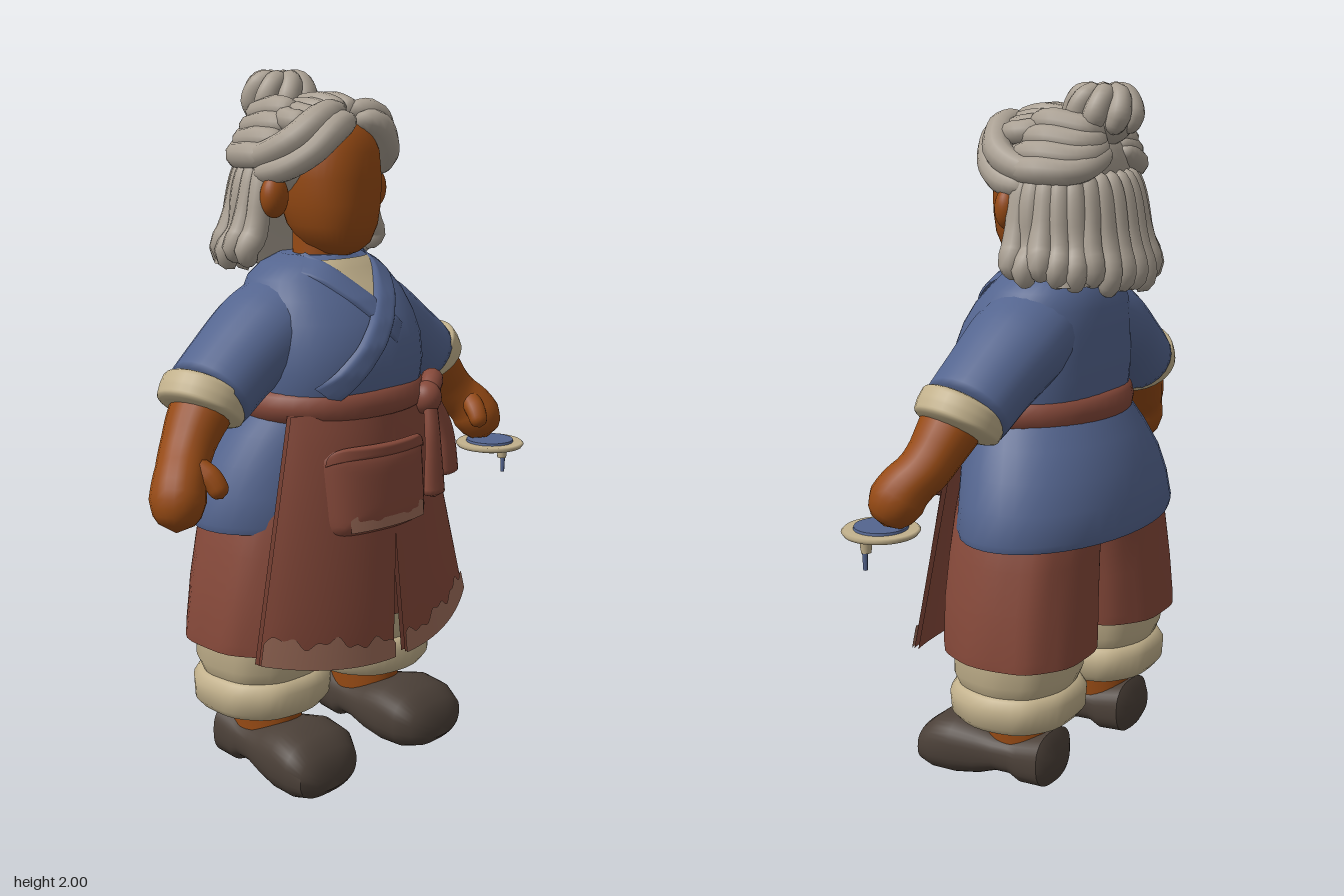
import * as THREE from 'three';
import { mergeVertices, toCreasedNormals } from 'three/addons/utils/BufferGeometryUtils.js';

const paint = (name, color, side = THREE.FrontSide) => {
  const m = new THREE.MeshStandardMaterial({ color, side });
  m.name = name;
  return m;
};

// Closed solid from horizontal superellipses: [y, x0, x1, z0, z1], listed upward
function loft(rows, { e = 2, n = 40, fold = 0, folds = 9, crease = 0.75 } = {}) {
  const pos = [], idx = [];
  const shut = ([y, a, b, c, d]) => [y, (a + b) / 2, (a + b) / 2, (c + d) / 2, (c + d) / 2];
  const all = [shut(rows[0]), ...rows, shut(rows.at(-1))];
  const pow = v => Math.sign(v) * Math.abs(v) ** (2 / e);
  all.forEach(([y, x0, x1, z0, z1], i) => {
    for (let j = 0; j < n; j++) {
      const t = (j / n) * Math.PI * 2;
      const k = 1 + fold * Math.sin(folds * t + i * 0.4);
      pos.push((x0 + x1) / 2 + (x1 - x0) / 2 * k * pow(Math.cos(t)), y,
        (z0 + z1) / 2 + (z1 - z0) / 2 * k * pow(Math.sin(t)));
      if (i < all.length - 1) {
        const a = i * n + j, c = i * n + (j + 1) % n;
        idx.push(a, a + n, c, c, a + n, c + n);
      }
    }
  });
  const g = new THREE.BufferGeometry();
  g.setAttribute('position', new THREE.Float32BufferAttribute(pos, 3));
  g.setIndex(idx);
  return toCreasedNormals(g, crease);
}

// Rounded strand or limb along a curve, with radii spread evenly along it
function limb(points, radii, { flatZ = 1, round = 0.12, seg = 20, sides = 12 } = {}) {
  const curve = new THREE.CatmullRomCurve3(points.map(p => new THREE.Vector3(...p)));
  const g = new THREE.TubeGeometry(curve, seg, 1, sides);
  const p = g.attributes.position, v = new THREE.Vector3();
  for (let i = 0; i <= seg; i++) {
    const t = i / seg, c = curve.getPointAt(t), f = t * (radii.length - 1);
    const k = Math.min(Math.floor(f), radii.length - 2);
    const end = Math.max(0, 1 - Math.min(t, 1 - t) / round);
    const r = THREE.MathUtils.lerp(radii[k], radii[k + 1], f - k) * Math.sqrt(1 - end * end);
    for (let j = 0; j <= sides; j++) {
      const q = i * (sides + 1) + j;
      v.fromBufferAttribute(p, q).sub(c).multiplyScalar(r);
      p.setXYZ(q, c.x + v.x, c.y + v.y, c.z + v.z * flatZ);
    }
  }
  g.deleteAttribute('normal');
  g.deleteAttribute('uv');
  const out = mergeVertices(g, 1e-5);
  out.computeVertexNormals();
  return out;
}

// Padded cloth lying on a surface z(x, y); at(u, v) gives x and y
function patch(at, zAt, lift, pad = 0, nu = 24, nv = 16) {
  const g = new THREE.PlaneGeometry(1, 1, nu, nv), p = g.attributes.position;
  for (let i = 0; i < p.count; i++) {
    const u = p.getX(i) + 0.5, v = p.getY(i) + 0.5;
    const [x, y] = at(u, v);
    const edge = Math.max(Math.abs(2 * u - 1), Math.abs(2 * v - 1));
    p.setXYZ(i, x, y, zAt(x, y) + lift + pad * (1 - edge ** 6));
  }
  g.computeVertexNormals();
  return g;
}

export function createModel() {
  const root = new THREE.Group(), body = new THREE.Group();
  body.name = 'figure';
  body.position.x = -0.025;
  root.add(body);
  const skin = paint('brown skin', 0x964a14), blue = paint('blue cloth', 0x54658f, THREE.DoubleSide);
  const red = paint('russet cloth', 0x86493a, THREE.DoubleSide), worn = paint('worn hem', 0x9c6c59, THREE.DoubleSide);
  const cream = paint('cream cloth', 0xc2b18c, THREE.DoubleSide), hair = paint('grey hair', 0xaaa093);
  const leather = paint('dark leather', 0x4b4038);
  const add = (name, g, mat, parent = body) => {
    const m = new THREE.Mesh(g, mat);
    m.name = name;
    parent.add(m);
    return m;
  };
  const ball = (name, mat, [x, y, z], [a, b, c], parent) => {
    const m = add(name, new THREE.SphereGeometry(1, 28, 20), mat, parent);
    m.position.set(x, y, z);
    m.scale.set(a, b, c);
  };
  const lerp = THREE.MathUtils.lerp;
  const sym = rows => rows.map(([y, w, z0, z1]) => [y, -w, w, z0, z1]);

  // Robe: skirt and upper body
  add('robeSkirt', loft(sym([[0.775, 0.395, -0.29, 0.19], [0.76, 0.41, -0.305, 0.2], [0.78, 0.415, -0.31, 0.205],
    [0.86, 0.395, -0.3, 0.205], [0.94, 0.365, -0.28, 0.21], [1.02, 0.32, -0.245, 0.215], [1.1, 0.27, -0.2, 0.23]])), blue);
  const chest = sym([[1.08, 0.265, -0.19, 0.235], [1.14, 0.275, -0.195, 0.255], [1.2, 0.28, -0.2, 0.262],
    [1.27, 0.275, -0.2, 0.255], [1.33, 0.265, -0.2, 0.23], [1.39, 0.25, -0.195, 0.19], [1.44, 0.22, -0.18, 0.145],
    [1.475, 0.175, -0.155, 0.115], [1.5, 0.12, -0.11, 0.09]]);
  add('robeTop', loft(chest, { e: 2.2 }), blue);
  const chestZ = (x, y) => {
    let i = 0;
    while (i < chest.length - 2 && chest[i + 1][0] < y) i++;
    const t = THREE.MathUtils.clamp((y - chest[i][0]) / (chest[i + 1][0] - chest[i][0]), 0, 1);
    const [, , w, z0, z1] = chest[i].map((v, k) => lerp(v, chest[i + 1][k], t));
    return (z0 + z1) / 2 + (z1 - z0) / 2 * Math.max(0, 1 - Math.abs(x / w) ** 2.2) ** (1 / 2.2);
  };
  add('undershirt', patch((u, v) => [(u - 0.5) * lerp(0.02, 0.22, v), lerp(1.36, 1.49, v)], chestZ, 0.007), cream);
  const lapel = (name, a, b, lift) => add(name, patch((u, v) => {
    const w = (v - 0.5) * 0.07, dx = b[0] - a[0], dy = b[1] - a[1], l = Math.hypot(dx, dy);
    return [lerp(a[0], b[0], u) - dy / l * w, lerp(a[1], b[1], u) + dx / l * w];
  }, chestZ, lift, 0.014), blue);
  lapel('underLapel', [-0.135, 1.485], [0.05, 1.29], 0.002);
  lapel('overLapel', [0.135, 1.485], [-0.2, 1.14], 0.008);

  // Belt with knot and hanging ends
  add('belt', loft(sym([[1.06, 0.275, -0.2, 0.245], [1.075, 0.292, -0.212, 0.268], [1.105, 0.298, -0.217, 0.274],
    [1.135, 0.29, -0.212, 0.268], [1.15, 0.272, -0.195, 0.25]]), { crease: 1.2 }), red);
  ball('beltKnot', red, [0.18, 1.085, 0.235], [0.045, 0.048, 0.045]);
  add('knotLoop', limb([[0.18, 1.09, 0.24], [0.235, 1.125, 0.21], [0.275, 1.09, 0.17], [0.22, 1.06, 0.22]], [0.03, 0.035, 0.03]), red);
  add('beltEnd', limb([[0.18, 1.08, 0.25], [0.165, 0.97, 0.275], [0.17, 0.8, 0.28]], [0.025, 0.03, 0.04], { flatZ: 0.6, round: 0.04 }), red);
  add('beltEnd', limb([[0.2, 1.08, 0.24], [0.25, 0.98, 0.25], [0.275, 0.84, 0.245]], [0.025, 0.03, 0.04], { flatZ: 0.6, round: 0.04 }), red);

  // Split apron, worn hem and pocket
  const outer = y => lerp(0.455, 0.275, (y - 0.37) / 0.72);
  const apronZ = (x, y) => lerp(0.3, 0.262, (y - 0.37) / 0.72) - 0.12 * (x / outer(y)) ** 2;
  const panel = (s, top) => (u, v) => {
    const y = lerp(0.375 + 0.06 * u * u, top(u), v);
    const inner = 0.025 * Math.max(0, (0.72 - y) / 0.35);
    return [s * lerp(inner, outer(y), u), y];
  };
  for (const s of [-1, 1]) {
    add('apronPanel', patch(panel(s, () => 1.09), apronZ, 0, 0.006), red);
    add('apronLining', patch(panel(s, () => 1.09), apronZ, -0.014), red);
    add('apronWornHem', patch(panel(s, u => 0.425 + 0.075 * u + 0.012 * Math.sin(u * 17 + s) + 0.008 * Math.sin(u * 41)),
      apronZ, 0.0085, 0, 48, 4), worn);
  }
  const pocketAt = (lo, hi) => (u, v) => {
    const a = 2 * u - 1, w = lerp(lo, hi, v), b = 2 * w - 1;
    return [-0.04 + 0.185 * a * (1 - 0.08 * b ** 8), 0.875 + 0.122 * b * (1 - 0.1 * a ** 8)];
  };
  add('pocket', patch(pocketAt(0, 1), apronZ, 0.004, 0.028), red);
  add('pocketBand', patch(pocketAt(0.86, 1.02), apronZ, 0.016, 0.014), red);
  add('pocketWear', patch((u, v) => [lerp(-0.18, 0.1, u), 0.768 + v * (0.035 + 0.012 * Math.sin(u * 15))], apronZ, 0.03, 0, 30, 4), worn);

  for (const s of [-1, 1]) {
    const side = s > 0 ? 'left' : 'right';
    const flip = rows => rows.map(([y, a, b, c, d]) => s > 0 ? [y, a, b, c, d] : [y, -b, -a, c, d]);
    const pts = list => list.map(([x, y, z]) => [s * x, y, z]);

    // Trousers, rolled cuffs, ankles and clogs
    add(side + 'Trouser', loft(flip([[0.44, 0.04, 0.4, -0.23, 0.15], [0.42, 0.015, 0.425, -0.25, 0.17], [0.45, 0.01, 0.425, -0.25, 0.175],
      [0.58, 0, 0.41, -0.245, 0.18], [0.7, -0.01, 0.385, -0.24, 0.18], [0.8, -0.03, 0.36, -0.24, 0.18],
      [0.95, -0.03, 0.3, -0.2, 0.17]]), { e: 2.3, fold: 0.012 }), red);
    add(side + 'TrouserCuff', loft(flip([[0.225, 0.07, 0.375, -0.18, 0.115], [0.22, 0.05, 0.395, -0.2, 0.135], [0.24, 0.032, 0.412, -0.216, 0.15],
      [0.295, 0.03, 0.415, -0.22, 0.155], [0.32, 0.045, 0.4, -0.205, 0.14], [0.325, 0.055, 0.39, -0.195, 0.13],
      [0.36, 0.04, 0.405, -0.21, 0.145], [0.45, 0.045, 0.4, -0.21, 0.145]]), { e: 2.3, fold: 0.008 }), cream);
    add(side + 'Ankle', loft(flip([[0.1, 0.13, 0.3, -0.14, 0.09], [0.18, 0.125, 0.3, -0.14, 0.09], [0.3, 0.12, 0.31, -0.14, 0.09]])), skin);
    add(side + 'Clog', loft(flip([[-0.168, 0.16, 0.29, -0.15, -0.05], [-0.15, 0.13, 0.31, -0.182, -0.018], [-0.08, 0.12, 0.315, -0.168, -0.015],
      [-0.05, 0.118, 0.317, -0.16, -0.035], [0, 0.108, 0.325, -0.16, -0.035], [0.06, 0.098, 0.34, -0.175, -0.012],
      [0.13, 0.086, 0.36, -0.19, 0], [0.2, 0.09, 0.365, -0.175, 0], [0.245, 0.12, 0.35, -0.14, -0.012],
      [0.268, 0.17, 0.305, -0.095, -0.035]]), { e: 2.6 }).rotateX(Math.PI / 2), leather);

    // Sleeves, arms and mitten hands
    add(side + 'Sleeve', limb(pts([[0.1, 1.34, -0.02], [0.2, 1.3, -0.025], [0.32, 1.23, -0.02], [0.455, 1.135, -0.01]]),
      [0.13, 0.13, 0.118, 0.112], { flatZ: 1.14, round: 0.06, sides: 24 }), blue);
    add(side + 'SleeveCuff', limb(pts([[0.425, 1.18, -0.015], [0.452, 1.145, -0.01], [0.482, 1.1, -0.005]]),
      [0.12, 0.122, 0.116], { flatZ: 1.02, round: 0.25, sides: 28 }), cream);
    const tip = s > 0 ? [[0.605, 0.96, 0.07], [0.635, 0.865, 0.11]] : [[0.61, 0.95, 0.065], [0.64, 0.835, 0.085]];
    add(side + 'Arm', limb(pts([[0.43, 1.17, 0], [0.5, 1.09, 0.01], [0.555, 1.02, 0.03], ...tip]),
      [0.08, 0.08, 0.07, 0.066, 0.072, 0.05], { flatZ: 1.1, sides: 18 }), skin);
    add(side + 'Thumb', limb(pts([[0.575, 1.01, 0.07], [0.55, 0.965, 0.13], [0.54, 0.92, 0.155]]), [0.03, 0.032, 0.026], { round: 0.2 }), skin);
    ball(side + 'Ear', skin, [s * 0.2, 1.665, 0.01], [0.042, 0.058, 0.035]);
  }

  // Small plate held in the left hand, with a stub below
  const plate = new THREE.Group();
  plate.name = 'plate';
  plate.position.set(0.63, 0.845, 0.125);
  body.add(plate);
  const rim = [[0, -0.016], [0.06, -0.014], [0.1, -0.003], [0.106, 0.006], [0.1, 0.012], [0, 0.012]];
  add('plateDish', new THREE.LatheGeometry(rim.map(p => new THREE.Vector2(...p)), 36), cream, plate);
  add('plateInlay', new THREE.CylinderGeometry(0.072, 0.074, 0.008, 32).translate(0, 0.015, 0), blue, plate);
  add('plateStub', new THREE.CylinderGeometry(0.018, 0.014, 0.035, 12).translate(0.045, -0.03, 0.015), cream, plate);
  add('plateStubTip', new THREE.CylinderGeometry(0.008, 0.006, 0.06, 8).translate(0.05, -0.065, 0.015), blue, plate);

  // Neck and plain face
  add('neck', loft(sym([[1.42, 0.095, -0.08, 0.085], [1.49, 0.09, -0.08, 0.085], [1.58, 0.09, -0.08, 0.08]])), skin);
  add('head', loft(sym([[1.495, 0.03, 0.02, 0.09], [1.505, 0.058, -0.01, 0.115], [1.53, 0.09, -0.05, 0.145], [1.58, 0.115, -0.09, 0.163],
    [1.64, 0.13, -0.11, 0.168], [1.71, 0.137, -0.12, 0.166], [1.78, 0.132, -0.12, 0.16], [1.84, 0.112, -0.11, 0.135],
    [1.88, 0.07, -0.08, 0.09]]), { e: 2.3, crease: 1.1 }), skin);

  // Hair: base masses, then strands
  const hairdo = new THREE.Group();
  hairdo.name = 'hair';
  body.add(hairdo);
  const strand = (name, p, r, o) => add(name, limb(p, r, { round: 0.18, seg: 18, sides: 10, ...o }), hair, hairdo);
  ball('hairCap', hair, [0, 1.77, -0.055], [0.19, 0.15, 0.165], hairdo);
  add('hairBack', loft(sym([[1.47, 0.24, -0.26, -0.09], [1.6, 0.21, -0.24, -0.08], [1.75, 0.19, -0.22, -0.04]])), hair, hairdo);
  for (let i = 0; i < 17; i++) {
    const a = (i / 8 - 1) * 1.72, x = Math.sin(a), z = -Math.cos(a), w = 0.012 * Math.sin(i * 2.4);
    const low = 1.435 + 0.04 * x * x + w;
    strand('backLock', [[0.185 * x, 1.77, -0.06 + 0.15 * z], [0.212 * x, 1.66, -0.06 + 0.175 * z],
      [(0.235 + w) * x, 1.56, -0.065 + 0.19 * z], [0.262 * x, low + 0.045, -0.07 + 0.205 * z], [0.235 * x, low, -0.07 + 0.185 * z]],
    [0.03, 0.036, 0.034, 0.038, 0.03]);
  }
  for (const s of [-1, 1]) {
    strand('fringe', [[0, 1.865, 0.115], [s * 0.08, 1.85, 0.13], [s * 0.15, 1.785, 0.105], [s * 0.195, 1.74, 0.04], [s * 0.21, 1.72, -0.06]],
      [0.03, 0.04, 0.036, 0.035, 0.03]);
    strand('fringe', [[0, 1.89, 0.08], [s * 0.1, 1.875, 0.095], [s * 0.175, 1.815, 0.06], [s * 0.2, 1.775, -0.02], [s * 0.19, 1.76, -0.12]],
      [0.03, 0.042, 0.042, 0.038, 0.03]);
    for (let k = 0; k < 4; k++) {
      strand('sideSweep', [[s * (0.19 - 0.03 * k), 1.77 + 0.04 * k, 0.03 - 0.01 * k], [s * (0.2 - 0.032 * k), 1.77 + 0.04 * k, -0.08],
        [s * (0.15 - 0.025 * k), 1.77 + 0.035 * k, -0.18], [s * 0.03, 1.82 + 0.02 * k, -0.21 + 0.015 * k]],
      [0.032, 0.04, 0.036, 0.03]);
      strand('topSweep', [[s * (0.02 + 0.035 * k), 1.885 - 0.008 * k, 0.1 - 0.01 * k], [s * (0.025 + 0.038 * k), 1.905 - 0.014 * k, 0.02],
        [s * (0.02 + 0.02 * k), 1.9 - 0.008 * k, -0.08]], [0.03, 0.034, 0.028]);
    }
  }
  ball('bun', hair, [0, 1.905, -0.165], [0.085, 0.08, 0.09], hairdo);
  for (let i = 0; i < 8; i++) {
    const at = (t, r, y) => [r * Math.cos(t), y, -0.165 + r * 1.05 * Math.sin(t)], t = i * Math.PI / 4;
    strand('bunCoil', [at(t, 0.012, 1.965), at(t + 0.25, 0.055, 1.963), at(t + 0.5, 0.078, 1.92), at(t + 0.75, 0.065, 1.86)],
      [0.025, 0.032, 0.034, 0.025]);
  }
  return root;
}
